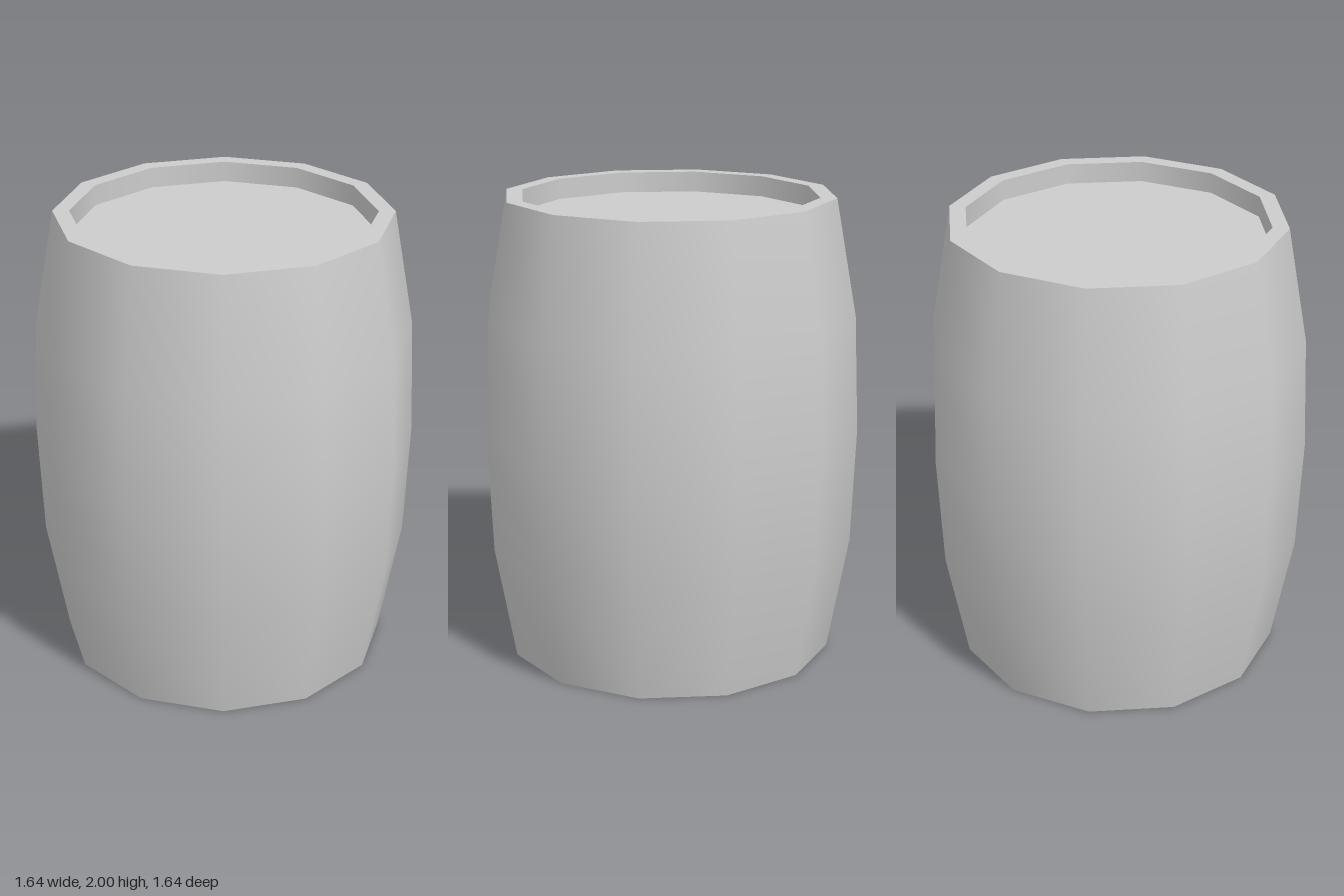
import * as THREE from 'three';

const SIDES = 12;
const RIM = 0.71;    // outer radius at both ends
const INNER = 0.64;  // inner radius of the rim
const RECESS = 0.09; // depth of the sunken lids

export function createModel() {
  const model = new THREE.Group();
  model.name = 'barrel';
  const grey = new THREE.MeshStandardMaterial({ color: 0xcccccc });
  grey.name = 'grey';

  // Revolves a profile, smooth around the axis; separate profiles keep sharp edges
  const addLathe = (name, profile) => {
    const points = profile.map(([r, y]) => new THREE.Vector2(r, y));
    const mesh = new THREE.Mesh(new THREE.LatheGeometry(points, SIDES), grey);
    mesh.name = name;
    model.add(mesh);
  };

  // Bulging staves
  addLathe('staves', [[RIM, 0], [0.8, 0.5], [0.82, 1], [0.8, 1.5], [RIM, 2]]);

  // Top end: flat rim, inner wall and sunken lid
  addLathe('topRim', [[RIM, 2], [INNER, 2]]);
  addLathe('topInnerWall', [[INNER, 2], [INNER, 2 - RECESS]]);
  addLathe('topLid', [[INNER, 2 - RECESS], [0, 2 - RECESS]]);

  // Bottom end, mirrored
  addLathe('bottomLid', [[0, RECESS], [INNER, RECESS]]);
  addLathe('bottomInnerWall', [[INNER, RECESS], [INNER, 0]]);
  addLathe('bottomRim', [[INNER, 0], [RIM, 0]]);

  return model;
}
